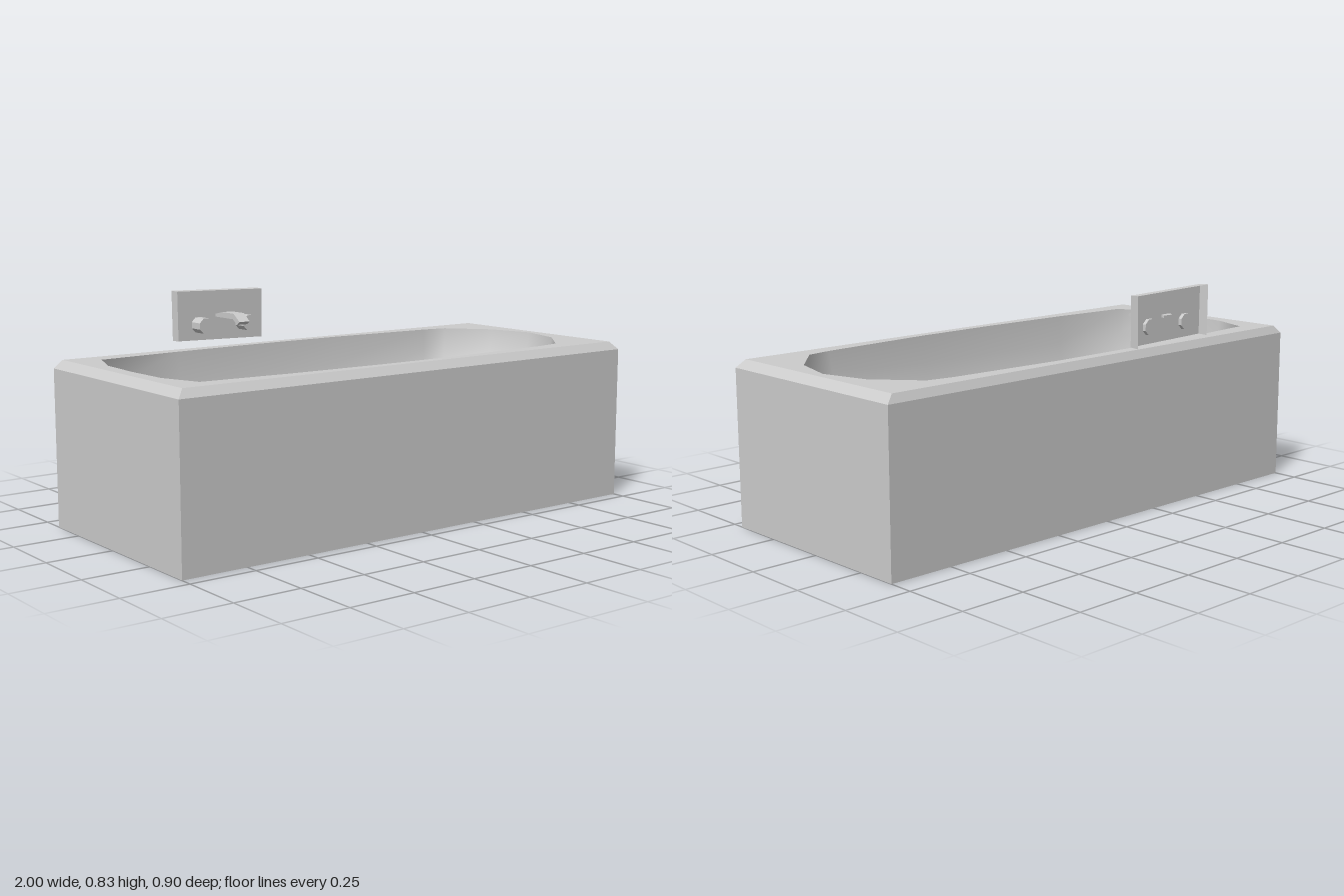
import * as THREE from 'three';

const smooth = new THREE.MeshStandardMaterial({ color: 0xcccccc, side: THREE.DoubleSide });
const flat = new THREE.MeshStandardMaterial({ color: 0xcccccc, side: THREE.DoubleSide, flatShading: true });

// Skin joining closed rings of [x, y, z] points, one after another.
function loft(rings) {
  const n = rings[0].length;
  const index = [];
  for (let r = 0; r < rings.length - 1; r++) {
    for (let i = 0; i < n; i++) {
      const j = (i + 1) % n;
      const a = r * n + i, b = r * n + j, c = b + n, d = a + n;
      index.push(a, b, c, a, c, d);
    }
  }
  const geometry = new THREE.BufferGeometry();
  geometry.setAttribute('position', new THREE.Float32BufferAttribute(rings.flat(2), 3));
  geometry.setIndex(index);
  geometry.computeVertexNormals();
  return geometry;
}

function add(parent, name, geometry, material = flat) {
  const mesh = new THREE.Mesh(geometry, material);
  mesh.name = name;
  parent.add(mesh);
  return mesh;
}

const TOP = 0.612, MID_Z = 0.02;

// Rectangle at height y, counter-clockwise from above.
const rect = (y, x, front, back) => [[-x, y, front], [x, y, front], [x, y, back], [-x, y, back]];

// Basin outline: front half as (x, distance from the centre line), then mirrored.
function basinOutline() {
  const half = [[-0.915, 0.18], [-0.86, 0.33], [-0.53, 0.355], [-0.15, 0.369],
    [0.2, 0.369], [0.66, 0.343], [0.76, 0.326], [0.89, 0.175]];
  return [[-0.922, 0], ...half, [0.937, 0], ...half.map(([x, z]) => [x, -z]).reverse()];
}

function createTub() {
  const tub = new THREE.Group();
  tub.name = 'tub';
  const outline = basinOutline();
  const rimEdge = rect(TOP, 0.972, 0.428, -0.392);

  // Outer walls, open below, with a bevel up to the rim
  add(tub, 'outerWalls', loft([
    rect(0, 1, 0.452, -0.407),
    rect(0.582, 1, 0.452, -0.407),
    rimEdge,
  ]));

  // Flat rim with the basin opening
  const shape = new THREE.Shape(rimEdge.map(([x, , z]) => new THREE.Vector2(x, -z)));
  shape.holes.push(new THREE.Path(outline.map(([x, z]) => new THREE.Vector2(x, -z - MID_Z))));
  add(tub, 'rim', new THREE.ShapeGeometry(shape).rotateX(-Math.PI / 2).translate(0, TOP, 0));

  // Rounded basin: height, length scale and width scale of each ring
  const levels = [[TOP, 1, 1], [0.5, 0.99, 0.98], [0.38, 0.96, 0.91], [0.28, 0.91, 0.77],
    [0.21, 0.78, 0.53], [0.175, 0.45, 0.28], [0.165, 0, 0]];
  add(tub, 'basin', loft(levels.map(([y, sx, sz]) => outline.map(([ox, oz]) => {
    const x = ox * sx;
    const lift = x > 0 ? 0.66 * x * x : 0; // the floor rises towards the reclined end
    return [x, y + (TOP - y) * lift, MID_Z + oz * sz];
  }))), smooth);
  return tub;
}

function createTap() {
  const tap = new THREE.Group();
  tap.name = 'tap';

  // Wall plate: shallow tray, open at the back and slightly askew
  const corners = [[-0.481, 0.637], [-0.098, 0.629], [-0.096, 0.82], [-0.483, 0.828]];
  const center = [-0.2895, 0.7285];
  const ring = (z, s) => corners.map(([x, y]) =>
    [center[0] + (x - center[0]) * s, center[1] + (y - center[1]) * s, z]);
  add(tap, 'wallPlate', loft([ring(-0.452, 1), ring(-0.415, 0.985), ring(-0.415, 0)]));

  // Two eight-sided knobs, showing through the plate
  for (const x of [-0.39, -0.193]) {
    const knob = new THREE.CylinderGeometry(0.031, 0.031, 0.072, 8)
      .rotateY(Math.PI / 8).rotateX(Math.PI / 2);
    add(tap, 'knob', knob).position.set(x, 0.696, -0.393);
  }

  // Bent spout: side profile as (z, y), extruded across x
  const profile = [[-0.428, 0.722], [-0.365, 0.722], [-0.295, 0.722], [-0.266, 0.703],
    [-0.25, 0.715], [-0.29, 0.743], [-0.37, 0.743], [-0.428, 0.73]];
  const shape = new THREE.Shape(profile.map(([z, y]) => new THREE.Vector2(z, y)));
  const spout = new THREE.ExtrudeGeometry(shape, { depth: 0.046, bevelEnabled: false })
    .rotateY(-Math.PI / 2);
  add(tap, 'spout', spout).position.x = -0.265;
  return tap;
}

export function createModel() {
  const model = new THREE.Group();
  model.name = 'bathtub';
  model.add(createTub(), createTap());
  return model;
}
